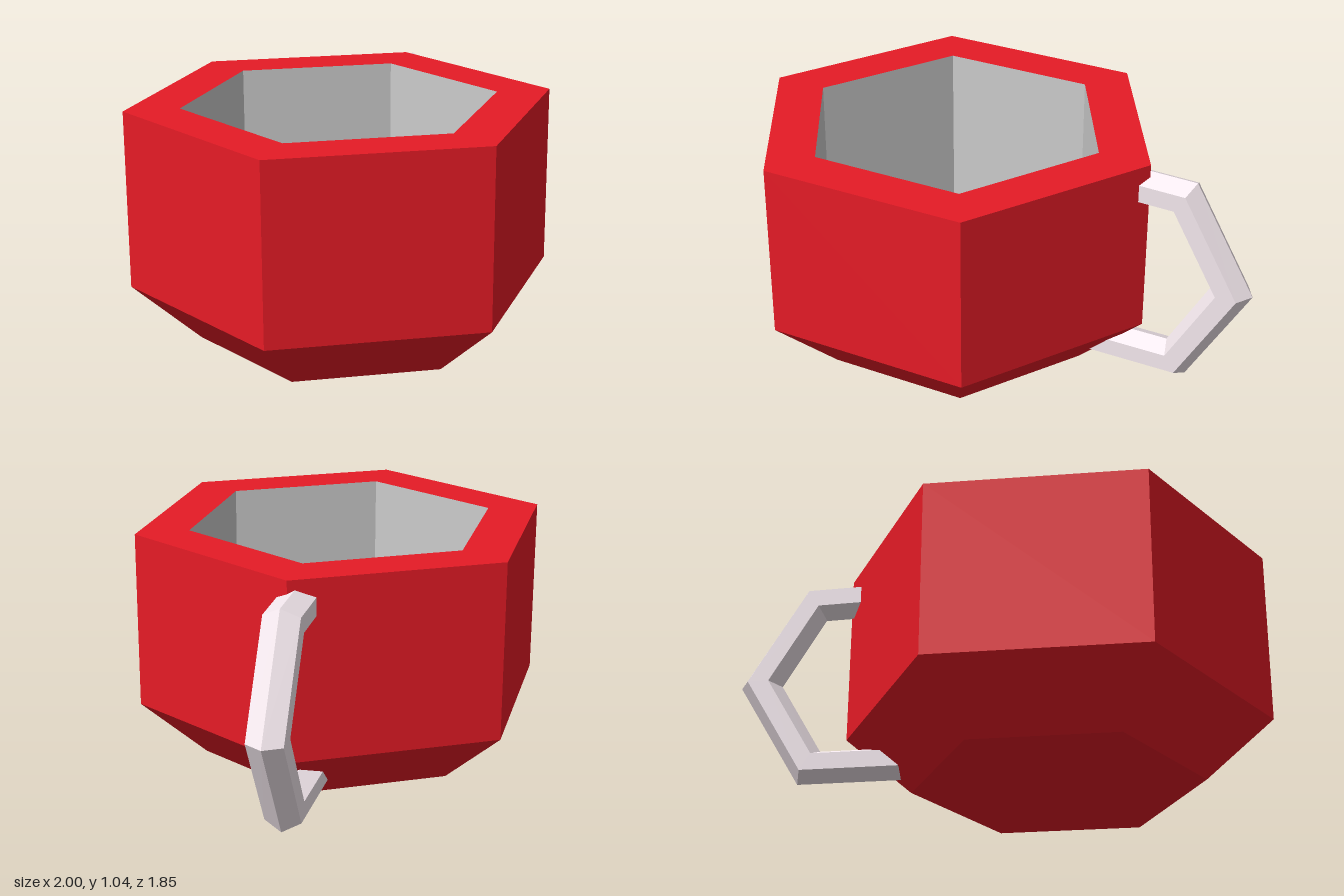
import * as THREE from 'three';

const flat = (color) => new THREE.MeshStandardMaterial({ color, flatShading: true });

// Six-sided ring of surface from a profile of [radius, y] points
function hexLathe(name, profile, color) {
  const points = profile.map(([r, y]) => new THREE.Vector2(r, y));
  const mesh = new THREE.Mesh(new THREE.LatheGeometry(points, 6), flat(color));
  mesh.name = name;
  return mesh;
}

// Hexagonal bar through mitred sections, each given by its outer and inner crest [x, y]
function hexBar(sections, halfWidth) {
  const ring = [[0, 0], [0.25, 1], [0.75, 1], [1, 0], [0.75, -1], [0.25, -1]];
  const positions = [];
  const index = [];
  for (const [outer, inner] of sections) {
    for (const [t, side] of ring) {
      positions.push(
        THREE.MathUtils.lerp(outer[0], inner[0], t),
        THREE.MathUtils.lerp(outer[1], inner[1], t),
        side * halfWidth
      );
    }
  }
  for (let s = 0; s < sections.length - 1; s++) {
    for (let i = 0; i < 6; i++) {
      const a = s * 6 + i, b = s * 6 + (i + 1) % 6;
      index.push(a, a + 6, b, b, a + 6, b + 6);
    }
  }
  // End caps
  const last = (sections.length - 1) * 6;
  for (let i = 1; i < 5; i++) {
    index.push(0, i, i + 1, last, last + i + 1, last + i);
  }
  const geometry = new THREE.BufferGeometry();
  geometry.setAttribute('position', new THREE.Float32BufferAttribute(positions, 3));
  geometry.setIndex(index);
  geometry.computeVertexNormals();
  return geometry;
}

export function createModel() {
  const mug = new THREE.Group();
  mug.name = 'mug';

  // Outer shell: base, bevel, wall and rim
  const rimInner = [0.687, 1.04];
  const shell = hexLathe('shell', [[0, 0], [0.63, 0], [0.924, 0.26], [0.924, 1.04], rimInner], 0xe61b26);

  // Hollow inside with a flat floor
  const inside = hexLathe('inside', [rimInner, [0.687, 0.22], [0, 0.22]], 0xcccccc);

  // Handle, leaving the cup at one corner; listed from bottom end to top end
  const handle = new THREE.Mesh(hexBar([
    [[0.66, 0.05], [0.70, 0.20]],
    [[1.125, 0.05], [1.032, 0.20]],
    [[1.402, 0.52], [1.217, 0.52]],
    [[1.125, 0.992], [1.032, 0.84]],
    [[0.83, 1.0], [0.83, 0.845]],
  ], 0.077), flat(0xf4e8ee));
  handle.name = 'handle';
  handle.rotation.y = Math.PI / 6;
  handle.position.set(-0.014, 0, -0.024);

  mug.add(shell, inside, handle);
  mug.position.x = -0.2;

  const model = new THREE.Group();
  model.name = 'model';
  model.add(mug);
  return model;
}
